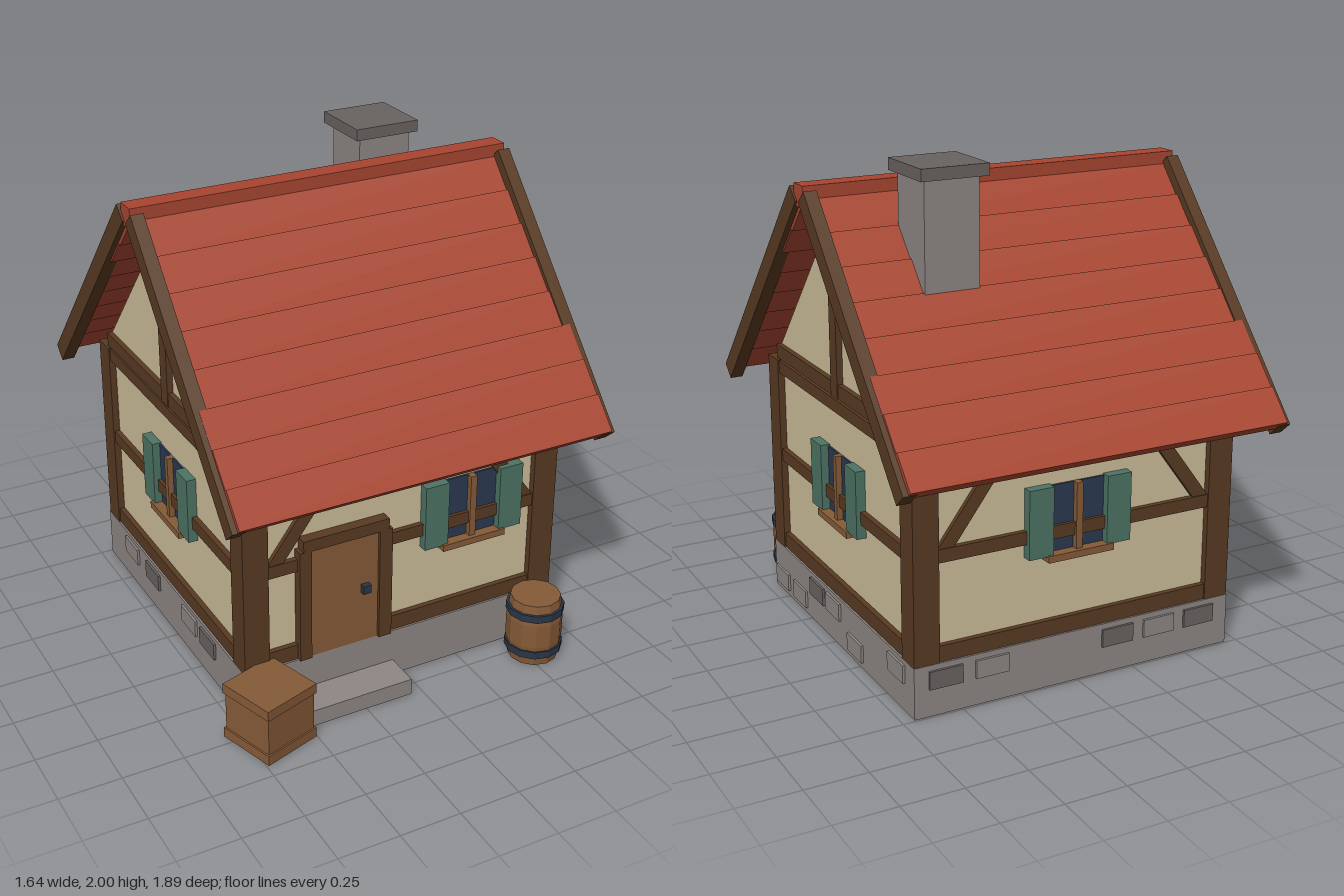
import * as THREE from 'three';

const paint = (name, color) => {
  const m = new THREE.MeshStandardMaterial({ color, flatShading: true });
  m.name = name;
  return m;
};

export function createModel() {
  const plaster = paint('plaster', 0xcdbd99);
  const timber = paint('dark timber', 0x583a21);
  const wood = paint('light wood', 0x855a37);
  const roofRed = paint('roof red', 0xa84530);
  const stone = paint('stone', 0x8e8784);
  const darkStone = paint('dark stone', 0x696361);
  const glass = paint('window glass', 0x2b3a50);
  const green = paint('shutter green', 0x4d7365);
  const iron = paint('iron', 0x2a3646);

  const model = new THREE.Group();
  model.name = 'cottage';
  const ZC = -0.042; // centre of the house in z
  const HALF = 0.7; // half width of the square house

  const add = (parent, name, geo, mat, x = 0, y = 0, z = 0) => {
    const mesh = new THREE.Mesh(geo, mat);
    mesh.name = name;
    mesh.position.set(x, y, z);
    parent.add(mesh);
    return mesh;
  };
  // Box given by its limits on each axis
  const slab = (parent, name, mat, x0, x1, y0, y1, z0, z1) =>
    add(parent, name, new THREE.BoxGeometry(x1 - x0, y1 - y0, z1 - z0), mat,
      (x0 + x1) / 2, (y0 + y1) / 2, (z0 + z1) / 2);
  const group = (parent, name) => {
    const g = new THREE.Group();
    g.name = name;
    parent.add(g);
    return g;
  };

  // House body: all walls are built around its centre
  const house = group(model, 'house');
  house.position.z = ZC;
  slab(house, 'foundation', stone, -HALF, HALF, 0, 0.21, -HALF, HALF);
  slab(house, 'plasterWalls', plaster, -0.67, 0.67, 0.2, 1.05, -0.67, 0.67);
  for (const x of [-0.645, 0.645])
    for (const z of [-0.645, 0.645])
      slab(house, 'cornerPost', timber, x - 0.053, x + 0.053, 0.21, 1.053, z - 0.053, z + 0.053);

  // Gable prism across the house
  const tri = new THREE.Shape([
    new THREE.Vector2(-0.67, 1.05), new THREE.Vector2(0.67, 1.05), new THREE.Vector2(0, 1.81)]);
  const gableGeo = new THREE.ExtrudeGeometry(tri, { depth: 1.34, bevelEnabled: false });
  gableGeo.translate(0, 0, -0.67).rotateY(Math.PI / 2);
  add(house, 'gable', gableGeo, plaster);

  // Window with shutters; z = 0 is the outer face of the wall
  function addWindow(wall, cx) {
    const w = group(wall, 'window');
    w.position.x = cx;
    slab(w, 'glass', glass, -0.123, 0.123, 0.55, 0.82, -0.031, -0.022);
    slab(w, 'mullion', wood, -0.014, 0.014, 0.55, 0.82, -0.03, 0.002);
    slab(w, 'sill', wood, -0.143, 0.143, 0.525, 0.553, -0.03, 0.02);
    for (const s of [-1, 1])
      add(w, 'shutter', new THREE.BoxGeometry(0.105, 0.278, 0.04), green, s * 0.17, 0.687, -0.01);
  }

  // One framed wall: beams, braces, window and foundation stones [x, y, dark]
  function addWall(name, turn, windowX, blocks, braced) {
    const pivot = group(house, name);
    pivot.rotation.y = turn;
    const wall = group(pivot, name + 'Frame');
    wall.position.z = HALF;
    for (const [y0, y1] of [[0.21, 0.275], [0.607, 0.66], [0.997, 1.05]])
      slab(wall, 'beam', timber, -0.62, 0.62, y0, y1, -0.04, -0.008);
    if (braced) {
      for (const s of [-1, 1]) {
        const dx = 0.28, dy = 0.38;
        const brace = add(wall, 'brace', new THREE.BoxGeometry(0.055, Math.hypot(dx, dy), 0.028),
          timber, s * 0.44, 0.82, -0.026);
        brace.rotation.z = s * Math.atan2(dx, dy);
      }
    } else {
      slab(wall, 'tieBeam', timber, -0.613, 0.613, 1.06, 1.118, -0.04, -0.008);
      slab(wall, 'kingPost', timber, -0.032, 0.032, 1.06, 1.755, -0.04, -0.005);
    }
    addWindow(wall, windowX);
    for (const [x, y, dark] of blocks)
      slab(wall, 'foundationStone', dark ? darkStone : stone,
        x - 0.07, x + 0.07, y - 0.037, y + 0.037, -0.01, 0.01);
    return wall;
  }

  const front = addWall('frontWall', 0, 0.305, [], true);
  addWall('backWall', Math.PI, 0,
    [[-0.57, 0.15, 1], [-0.375, 0.15, 0], [0.18, 0.15, 1], [0.37, 0.15, 0], [0.56, 0.15, 1]], true);
  addWall('leftWall', Math.PI / 2, 0,
    [[-0.605, 0.065, 0], [-0.41, 0.065, 0], [0.165, 0.065, 0],
      [-0.22, 0.153, 1], [-0.052, 0.153, 0], [0.55, 0.153, 0]], false);
  addWall('rightWall', -Math.PI / 2, 0,
    [[-0.43, 0.153, 0], [-0.2, 0.153, 1], [0.18, 0.153, 0], [0.36, 0.153, 1]], false);

  // Door and step
  slab(front, 'door', wood, -0.42, -0.12, 0.21, 0.697, -0.04, 0);
  slab(front, 'doorJamb', timber, -0.468, -0.418, 0.21, 0.697, -0.04, 0.014);
  slab(front, 'doorJamb', timber, -0.122, -0.066, 0.21, 0.697, -0.04, 0.014);
  slab(front, 'doorLintel', timber, -0.453, -0.083, 0.695, 0.745, -0.04, 0.016);
  slab(front, 'doorKnob', iron, -0.198, -0.163, 0.438, 0.473, 0, 0.024);
  slab(front, 'doorStep', stone, -0.482, -0.048, 0, 0.07, -0.01, 0.15);

  // Roof: rows of planks, slightly steeper than the line they are stacked on
  const roof = group(model, 'roof');
  const pitch = THREE.MathUtils.degToRad(48);
  const c = Math.cos(pitch), s = Math.sin(pitch);
  const rowLength = 0.156, rowThick = 0.05;
  const rowGeo = new THREE.BoxGeometry(1.6, rowThick, rowLength);
  const bargeGeo = new THREE.BoxGeometry(0.053, 0.075, 1.23);
  for (const side of [1, -1]) {
    const place = (mesh, z, y) => {
      mesh.position.y = y;
      mesh.position.z = ZC + side * (z - ZC);
      mesh.rotation.x = side * pitch;
    };
    for (let k = 0; k < 8; k++) {
      const z = 0.862 - 0.108 * k, y = 0.99 + 0.107 * k; // lower outer edge
      place(add(roof, 'roofPlankRow', rowGeo, roofRed),
        z - c * rowLength / 2 - s * rowThick / 2, y + s * rowLength / 2 - c * rowThick / 2);
    }
    for (const x of [-0.796, 0.796])
      place(add(roof, 'bargeBoard', bargeGeo, timber, x), 0.41, 1.408);
  }
  slab(roof, 'ridgeCap', roofRed, -0.815, 0.815, 1.82, 1.905, ZC - 0.043, ZC + 0.043);

  // Chimney
  slab(model, 'chimneyShaft', stone, 0.253, 0.479, 1.38, 1.955, -0.415, -0.192);
  slab(model, 'chimneyCap', darkStone, 0.227, 0.506, 1.953, 2, -0.447, -0.168);

  // Barrel with iron hoops
  const barrel = group(model, 'barrel');
  barrel.position.set(0.54, 0, 0.788);
  const profile = [[0, 0], [0.102, 0], [0.114, 0.09], [0.114, 0.19], [0.102, 0.28], [0, 0.28]];
  add(barrel, 'barrelStaves',
    new THREE.LatheGeometry(profile.map(p => new THREE.Vector2(...p)), 12), wood);
  for (const y of [0.055, 0.227])
    add(barrel, 'barrelHoop', new THREE.CylinderGeometry(0.118, 0.118, 0.032, 12), iron, 0, y, 0);

  // Crate with rims
  const crate = group(model, 'crate');
  crate.position.set(-0.659, 0, 0.787);
  crate.rotation.y = 0.3;
  slab(crate, 'crateBody', wood, -0.118, 0.118, 0.005, 0.24, -0.118, 0.118);
  for (const y of [0.022, 0.225])
    add(crate, 'crateRim', new THREE.BoxGeometry(0.25, 0.042, 0.25), wood, 0, y, 0);

  return model;
}
